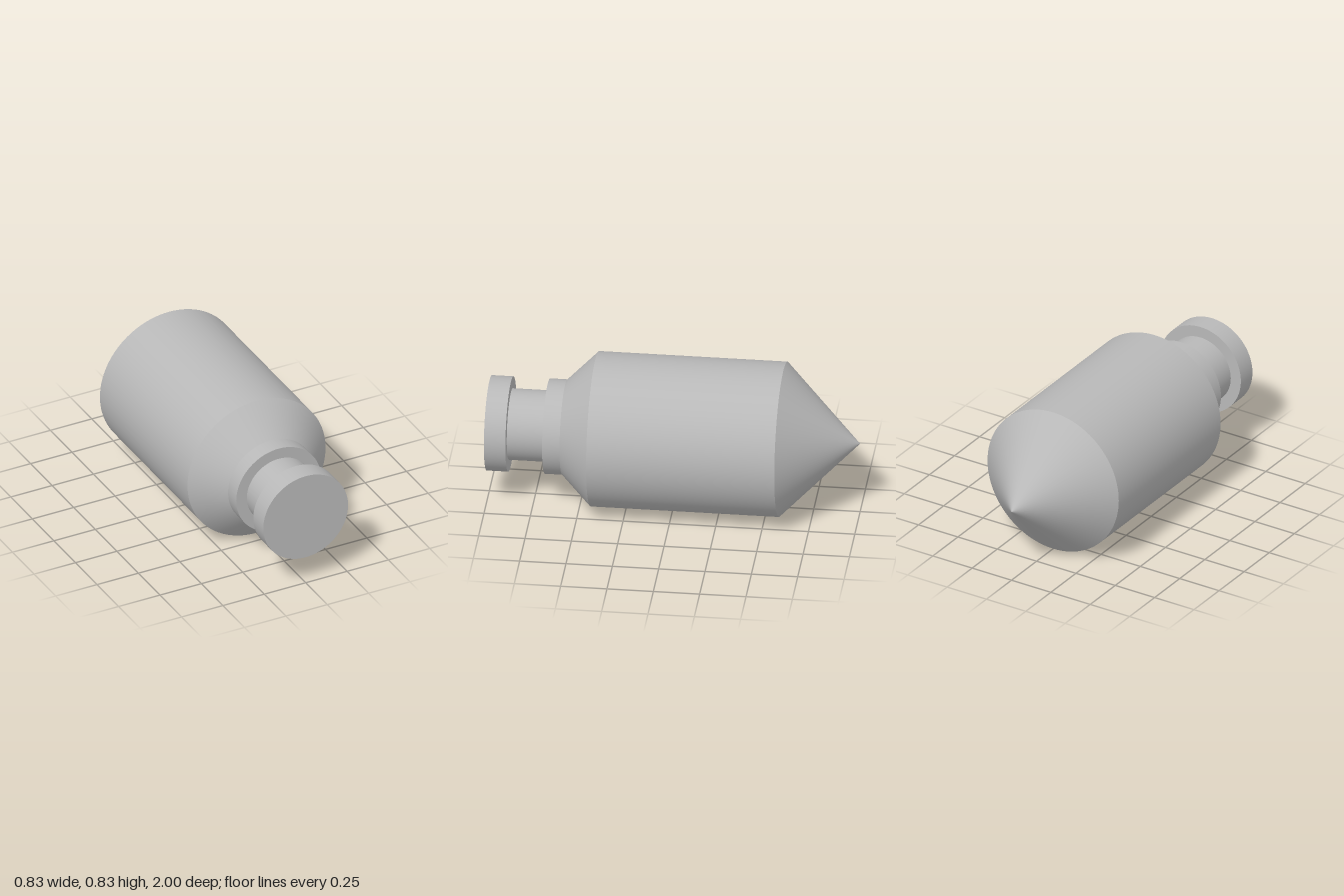
import * as THREE from 'three';
import { mergeGeometries } from 'three/addons/utils/BufferGeometryUtils.js';

const RADIUS = 0.417;
const FLANGE = 0.256;
const NECK = 0.192;

// Turned surface along z from [radius, z] points; each straight run keeps its own normals, so edges stay crisp
function turned(name, profile, material) {
  const runs = [];
  for (let i = 0; i < profile.length - 1; i++) {
    const points = [profile[i], profile[i + 1]].map(([r, z]) => new THREE.Vector2(r, z));
    runs.push(new THREE.LatheGeometry(points, 96));
  }
  const geometry = mergeGeometries(runs);
  geometry.rotateX(Math.PI / 2);
  const mesh = new THREE.Mesh(geometry, material);
  mesh.name = name;
  return mesh;
}

export function createModel() {
  const steel = new THREE.MeshStandardMaterial({ color: 0xb8b8b8 });
  steel.name = 'plain grey';

  const model = new THREE.Group();
  model.name = 'turnedPlunger';
  model.add(
    // Conical point at the back
    turned('pointedTip', [[0, -1], [RADIUS, -0.585]], steel),
    // Main barrel
    turned('barrel', [[RADIUS, -0.585], [RADIUS, 0.43]], steel),
    // Chamfer narrowing to the collar
    turned('shoulder', [[RADIUS, 0.43], [FLANGE, 0.592]], steel),
    // Collar with its step down to the neck
    turned('collar', [[FLANGE, 0.592], [FLANGE, 0.686], [NECK, 0.686]], steel),
    // Groove between collar and head
    turned('neck', [[NECK, 0.686], [NECK, 0.884]], steel),
    // Flat-faced head at the front
    turned('head', [[NECK, 0.884], [FLANGE, 0.884], [FLANGE, 1], [0, 1]], steel)
  );

  // Rest the barrel on the ground
  model.children.forEach((part) => { part.position.y = RADIUS; });
  return model;
}
